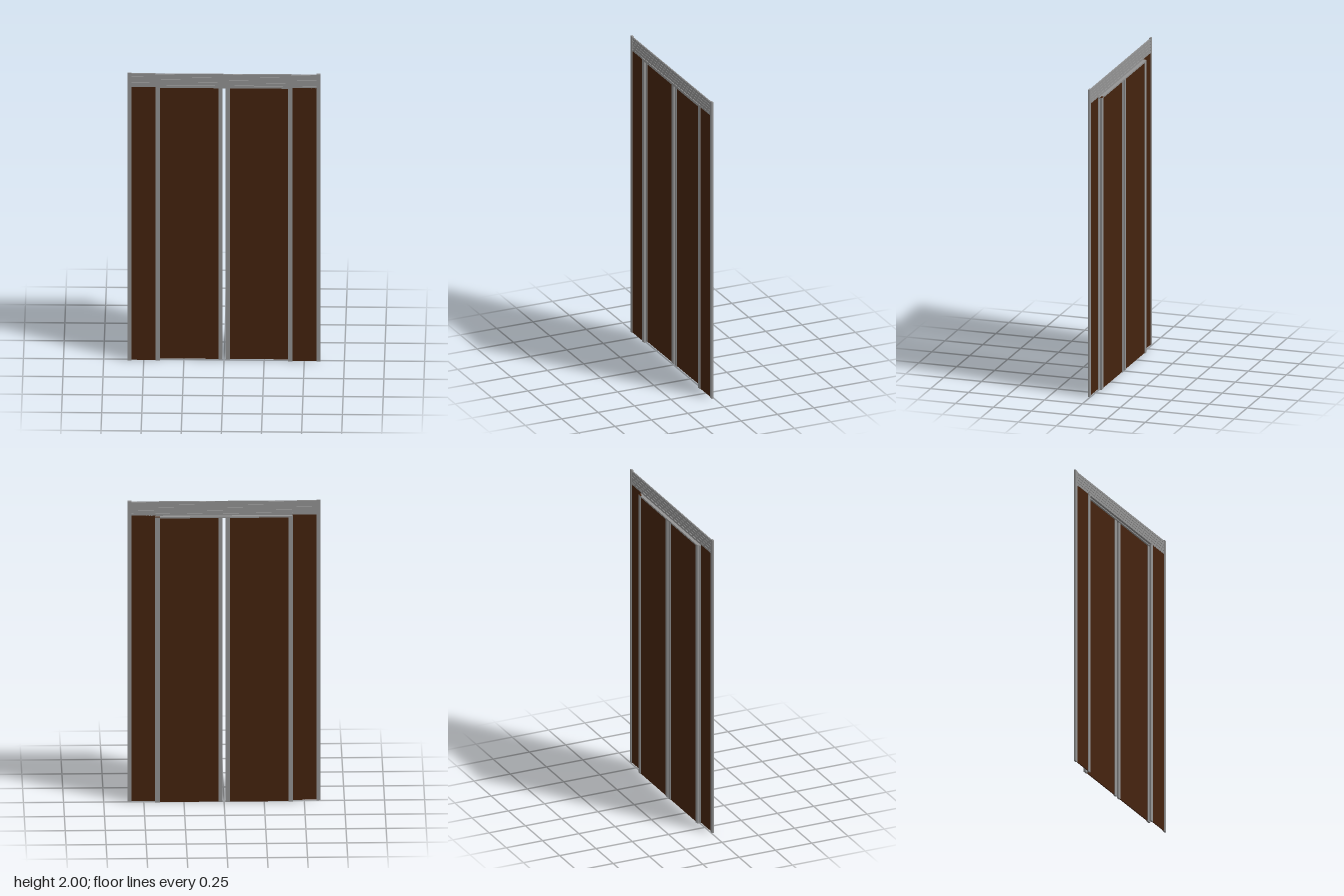
import * as THREE from 'three';

export function createModel() {
  const model = new THREE.Group();
  model.name = 'slidingDoor';
  const metal = new THREE.MeshStandardMaterial({ color: 0x949494 });
  metal.name = 'grey metal';
  const wood = new THREE.MeshStandardMaterial({ color: 0x45230e });
  wood.name = 'dark brown panel';

  // Box given by its limits on each axis
  const block = (name, mat, [x0, x1], [y0, y1], [z0, z1], parent = model) => {
    const mesh = new THREE.Mesh(new THREE.BoxGeometry(x1 - x0, y1 - y0, z1 - z0), mat);
    mesh.position.set((x0 + x1) / 2, (y0 + y1) / 2, (z0 + z1) / 2);
    mesh.name = name;
    parent.add(mesh);
  };

  const front = [0.004, 0.016]; // fixed frame layer
  const back = [-0.018, -0.005]; // sliding leaf layer

  for (const [side, s] of [['left', 1], ['right', -1]]) {
    const span = (a, b) => (s > 0 ? [a, b] : [-b, -a]);

    // Fixed side: outer jamb, brown panel and inner post
    const fixed = new THREE.Group();
    fixed.name = side + 'FixedSide';
    block('jamb', metal, span(0.575, 0.6), [0, 2], front, fixed);
    block('sidePanel', wood, span(0.428, 0.575), [0.003, 1.905], [0.007, 0.013], fixed);
    block('sidePost', metal, span(0.4, 0.428), [0, 1.9], front, fixed);
    model.add(fixed);

    // Sliding leaf: brown panel between two stiles
    const leaf = new THREE.Group();
    leaf.name = side + 'SlidingLeaf';
    block('leafPanel', wood, span(0.036, 0.4), [0.003, 1.9], [-0.015, -0.008], leaf);
    block('meetingStile', metal, span(0.01, 0.036), [0, 1.9], back, leaf);
    block('outerStile', metal, span(0.4, 0.43), [0, 1.9], back, leaf);
    model.add(leaf);
  }

  // Header with horizontal ribs on both faces
  const header = new THREE.Group();
  header.name = 'header';
  block('headerCore', metal, [-0.575, 0.575], [1.902, 1.996], [0.007, 0.013], header);
  for (let i = 0; i < 5; i++) {
    const y = 1.904 + i * 0.019;
    block('headerRib', metal, [-0.575, 0.575], [y, y + 0.013], [0.005, 0.015], header);
  }
  model.add(header);

  // Track above the leaves, with a front lip
  block('trackLip', metal, [-0.428, 0.428], [1.9, 1.916], [0.003, 0.018]);
  block('track', metal, [-0.428, 0.4], [1.893, 1.903], [-0.018, 0.003]);
  block('trackEnd', metal, [0.4, 0.43], [1.893, 1.903], [-0.006, 0.003]);
  block('leafCap', wood, [0.4, 0.43], [1.9, 1.903], [-0.018, -0.006]);

  return model;
}
